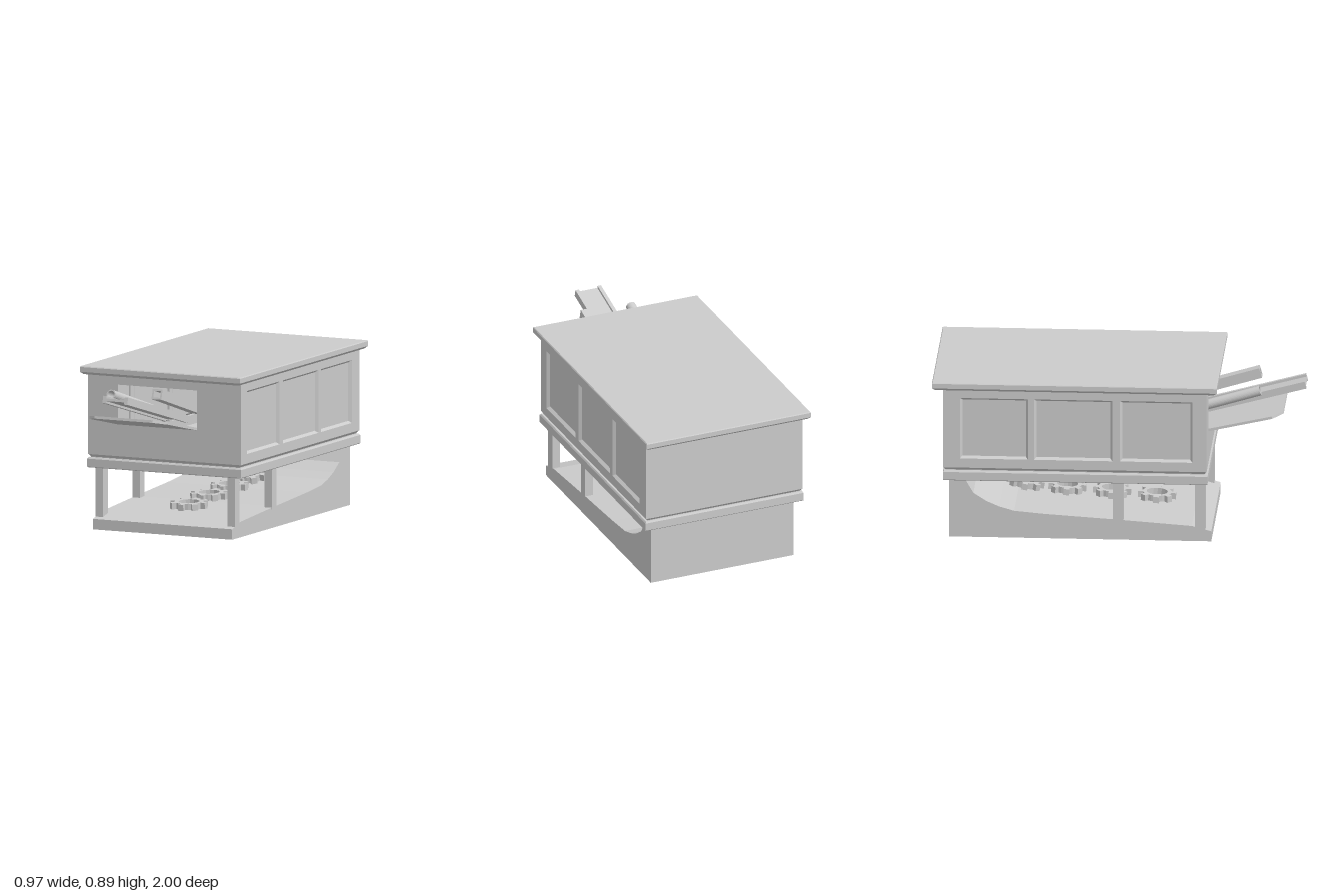
import * as THREE from 'three';

const mat = new THREE.MeshStandardMaterial({ color: 0xcccccc, flatShading: true });
const thinMat = new THREE.MeshStandardMaterial({ color: 0xcccccc, flatShading: true, side: THREE.DoubleSide });
const smoothMat = new THREE.MeshStandardMaterial({ color: 0xcccccc });

function add(parent, name, geometry, material = mat) {
  const mesh = new THREE.Mesh(geometry, material);
  mesh.name = name;
  parent.add(mesh);
  return mesh;
}

// Box given by its limits
function block(x0, x1, y0, y1, z0, z1) {
  return new THREE.BoxGeometry(x1 - x0, y1 - y0, z1 - z0)
    .translate((x0 + x1) / 2, (y0 + y1) / 2, (z0 + z1) / 2);
}

// Skin through four-cornered rings, with optional end caps
function loft(rings, capStart = true, capEnd = true) {
  const p = [];
  const quad = (a, b, c, d) => [a, b, c, a, c, d].forEach(v => p.push(...v));
  for (let r = 0; r < rings.length - 1; r++) {
    const a = rings[r], b = rings[r + 1];
    for (let i = 0; i < 4; i++) {
      const j = (i + 1) % 4;
      quad(a[i], a[j], b[j], b[i]);
    }
  }
  const s = rings[0], e = rings[rings.length - 1];
  if (capStart) quad(s[3], s[2], s[1], s[0]);
  if (capEnd) quad(e[0], e[1], e[2], e[3]);
  const g = new THREE.BufferGeometry();
  g.setAttribute('position', new THREE.Float32BufferAttribute(p, 3));
  g.computeVertexNormals();
  return g;
}

// Horizontal moulding: profile is a list of [inset, y]
function moulding(w, z0, z1, profile) {
  return loft(profile.map(([i, y]) => [
    [-w + i, y, z1 - i], [w - i, y, z1 - i], [w - i, y, z0 + i], [-w + i, y, z0 + i]]));
}

const points = list => list.map(([x, y]) => new THREE.Vector2(x, y));
const rect = (x0, x1, y0, y1) => points([[x0, y0], [x1, y0], [x1, y1], [x0, y1]]);

function extrude(outline, holes, depth, curveSegments = 12) {
  const shape = new THREE.Shape(outline);
  holes.forEach(h => shape.holes.push(new THREE.Path(h)));
  return new THREE.ExtrudeGeometry(shape, { depth, bevelEnabled: false, curveSegments });
}

// Profile drawn in (z, y), extruded across x and ending at xMax
const extrudeAcross = (outline, holes, depth, xMax) =>
  extrude(outline, holes, depth).rotateY(-Math.PI / 2).translate(xMax, 0, 0);

function circle(r, n) {
  return Array.from({ length: n }, (_, i) =>
    new THREE.Vector2(r * Math.cos(i / n * 2 * Math.PI), r * Math.sin(i / n * 2 * Math.PI)));
}

// Toothed ring lying flat
function gearGeometry() {
  const outline = [], teeth = 8;
  for (let i = 0; i < teeth; i++) {
    [[-0.5, 0.078], [-0.24, 0.078], [-0.2, 0.104], [0.2, 0.104], [0.24, 0.078]].forEach(([o, r]) => {
      const a = (i + o) / teeth * 2 * Math.PI;
      outline.push(new THREE.Vector2(r * Math.cos(a), r * Math.sin(a)));
    });
  }
  return extrude(outline, [circle(0.057, 16)], 0.034).translate(0, 0, -0.017).rotateX(-Math.PI / 2);
}

export function createModel() {
  const model = new THREE.Group();
  model.name = 'machineCabinet';

  // Base tray sweeping up to the back
  add(model, 'base', extrudeAcross(points([
    [-0.91, 0], [0.505, 0], [0.505, 0.057], [0.4, 0.085], [0, 0.113], [-0.4, 0.138], [-0.56, 0.152],
    [-0.64, 0.175], [-0.71, 0.205], [-0.78, 0.25], [-0.83, 0.335], [-0.91, 0.335]]), [], 0.84, 0.42));

  // Legs
  for (const s of [-1, 1]) {
    for (const [z, y] of [[0.445, 0.065], [0.003, 0.1]]) {
      const leg = add(model, 'leg', block(-0.023, 0.023, y, 0.34, -0.028, 0.028));
      leg.position.set(s * 0.398, 0, z);
    }
  }

  // Gears along the base
  const gear = gearGeometry();
  for (const [z, y, tilt] of [[0.187, 0.122, 0.05], [-0.055, 0.141, 0.05], [-0.297, 0.157, 0.05], [-0.522, 0.182, 0.19]]) {
    const g = add(model, 'gear', gear);
    g.position.set(0, y, z);
    g.rotation.x = tilt;
  }

  // Lower trim, neck and lid
  add(model, 'lowerTrim', moulding(0.465, -0.942, 0.487,
    [[0.003, 0.333], [0, 0.337], [0, 0.38], [0.006, 0.388]]));
  add(model, 'neck', moulding(0.46, -0.94, 0.482, [[0.012, 0.386], [0.012, 0.391], [0, 0.406]]));
  add(model, 'lid', moulding(0.483, -1, 0.537,
    [[0.016, 0.845], [0, 0.859], [0, 0.885], [0.004, 0.89]]));

  // Hollow body with a front opening
  const y0 = 0.405, y1 = 0.85, t = 0.02;
  add(model, 'frontWall', extrude(rect(-0.46, 0.46, y0, y1), [rect(-0.28, 0.195, 0.58, 0.795)], t)
    .translate(0, 0, 0.482 - t));
  add(model, 'backWall', block(-0.46, 0.46, y0, y1, -0.94, -0.94 + t));
  const panels = [[0.015, 0.405], [-0.45, -0.027], [-0.85, -0.483]];
  const holes = panels.map(([a, b]) => rect(a, b, 0.457, 0.8));
  for (const s of [-1, 1]) {
    add(model, 'sideWall', extrudeAcross(rect(-0.94 + t, 0.482 - t, y0, y1), holes, t, s > 0 ? 0.46 : -0.46 + t));
    // Sunken panels with sloped edges
    for (const [a, b] of panels) {
      const ring = (i, x) => [[x, 0.457 + i, a + i], [x, 0.457 + i, b - i], [x, 0.8 - i, b - i], [x, 0.8 - i, a + i]];
      add(model, 'sidePanel', loft([ring(0, s * 0.46), ring(0.012, s * 0.444)], false), thinMat);
    }
  }

  // Sloping objects reaching out of the opening, placed by their front end
  function sloped(name, geometry, x, y, z, angle, material) {
    const m = add(model, name, geometry, material);
    m.position.set(x, y, z);
    m.rotation.x = -angle;
  }
  const tray = points([[-0.28, 0.43], [-0.28, 0.06], [-0.22, 0], [0.13, 0], [0.19, 0.06], [0.19, 0.43]]);
  sloped('outfeedTray', extrude(tray, [], 0.014).rotateX(-Math.PI / 2), 0, 0.668, 0.884, 0.22);

  const beam = points([[-0.075, -0.02], [-0.055, -0.02], [-0.055, -0.008], [0.055, -0.008], [0.055, -0.02],
    [0.075, -0.02], [0.075, 0.02], [0.055, 0.02], [0.055, 0.006], [-0.055, 0.006], [-0.055, 0.02], [-0.075, 0.02]]);
  sloped('beam', extrude(beam, [], 0.75).translate(0, 0, -0.75), -0.039, 0.795, 0.995, 0.263);

  sloped('squareTube', extrude(rect(-0.03, 0.03, -0.028, 0.028), [rect(-0.02, 0.02, -0.018, 0.018)], 0.5)
    .translate(0, 0, -0.5), 0.086, 0.802, 0.742, 0.29);

  // Round tube as a closed turned ring profile
  const pipe = new THREE.LatheGeometry(points([[0.021, -0.5], [0.027, -0.5], [0.027, -0.5], [0.027, 0],
    [0.027, 0], [0.021, 0], [0.021, 0], [0.021, -0.5]]), 24).rotateX(Math.PI / 2);
  pipe.deleteAttribute('normal');
  pipe.computeVertexNormals();
  sloped('roundTube', pipe, -0.186, 0.784, 0.755, 0.29,
    Object.assign(smoothMat.clone(), { side: THREE.DoubleSide, flatShading: true }));

  return model;
}
